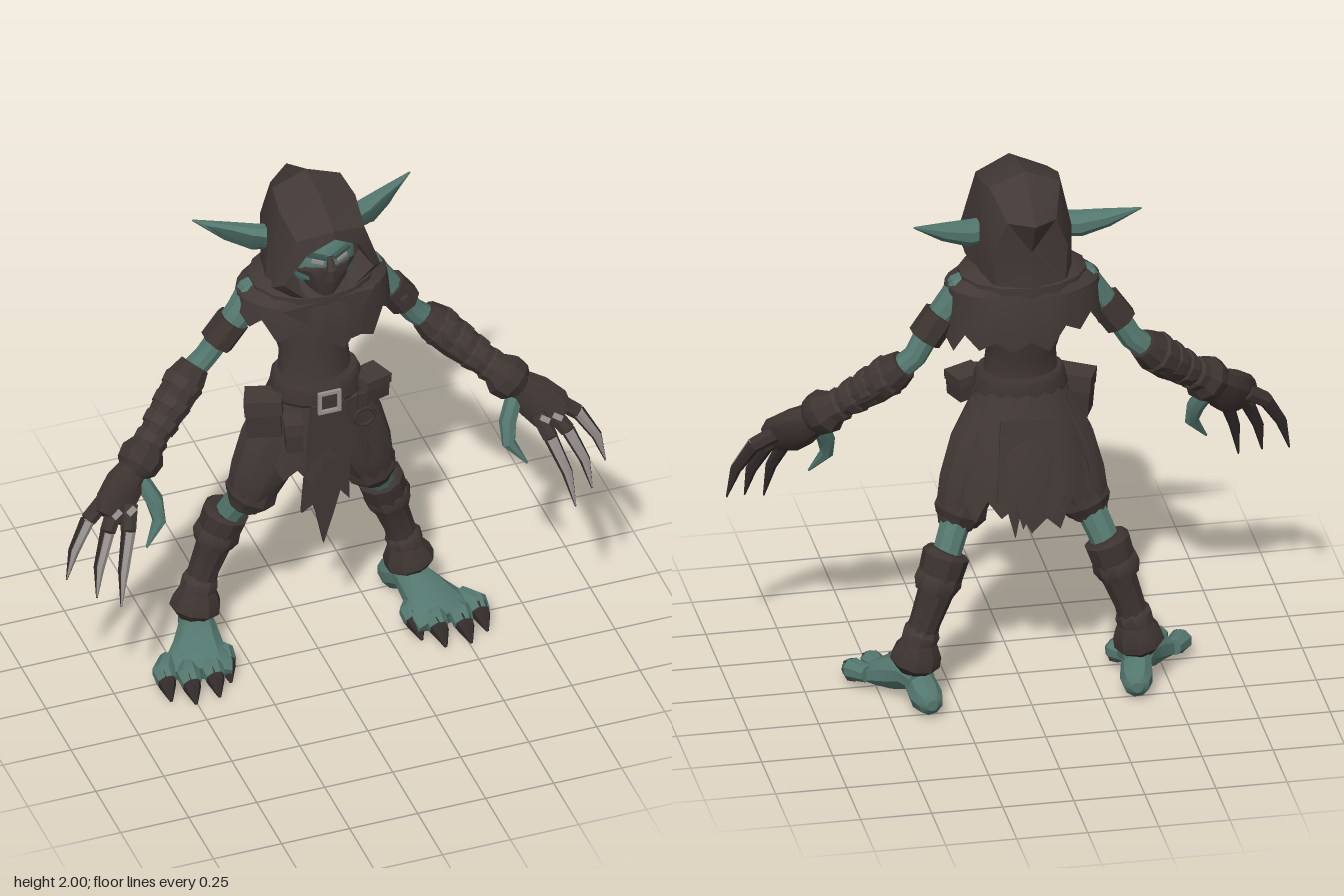
import * as THREE from 'three';
import { toCreasedNormals } from 'three/addons/utils/BufferGeometryUtils.js';

const V = (x, y, z) => new THREE.Vector3(x, y, z);
const Y = V(0, 1, 0), Z = V(0, 0, 1);

// Skin a list of closed rings of points, optionally capped at both ends
function loft(rings, caps = true, crease = 0.55) {
  const n = rings[0].length, pos = [], idx = [];
  rings.forEach(r => r.forEach(p => pos.push(p.x, p.y, p.z)));
  for (let i = 0; i < rings.length - 1; i++) {
    for (let j = 0; j < n; j++) {
      const a = i * n + j, b = i * n + (j + 1) % n;
      idx.push(a, b, b + n, a, b + n, a + n);
    }
  }
  if (caps) {
    [0, rings.length - 1].forEach((k, end) => {
      const c = rings[k].reduce((s, p) => s.add(p), V(0, 0, 0)).divideScalar(n);
      const ci = pos.length / 3;
      pos.push(c.x, c.y, c.z);
      for (let j = 0; j < n; j++) {
        const a = k * n + j, b = k * n + (j + 1) % n;
        if (end) idx.push(ci, a, b); else idx.push(ci, b, a);
      }
    });
  }
  const g = new THREE.BufferGeometry();
  g.setAttribute('position', new THREE.Float32BufferAttribute(pos, 3));
  g.setIndex(idx);
  return toCreasedNormals(g, crease);
}

// Tapered limb through points [x, y, z, radius, second radius]
function tube(pts, n = 9, ref = Z) {
  const c = pts.map(p => V(p[0], p[1], p[2]));
  return loft(pts.map((p, i) => {
    const t = c[Math.min(i + 1, c.length - 1)].clone().sub(c[Math.max(i - 1, 0)]).normalize();
    const u = t.clone().cross(ref).normalize(), v = t.clone().cross(u);
    return Array.from({ length: n }, (_, j) => {
      const a = (j + 0.5) / n * Math.PI * 2;
      return c[i].clone().addScaledVector(u, Math.cos(a) * p[3]).addScaledVector(v, Math.sin(a) * (p[4] ?? p[3]));
    });
  }));
}

// Open cloth shell of rings [y, z, rx, rz] from top down, with a torn hem shaped by drop(angle)
function rag(rings, n, jag, drop) {
  return loft(rings.map(([y, z, rx, rz], i) => Array.from({ length: n }, (_, j) => {
    const a = j / n * Math.PI * 2;
    const tear = i === rings.length - 1 ? drop(a) + jag * (j % 2 + 0.5 * Math.sin(j * 7.3)) : 0;
    return V(-rx * Math.sin(a), y - tear, z + rz * Math.cos(a));
  })), false);
}

function plate(points, depth, holes) {
  const s = new THREE.Shape(points.map(p => new THREE.Vector2(...p)));
  if (holes) s.holes.push(new THREE.Path(holes.map(p => new THREE.Vector2(...p))));
  return new THREE.ExtrudeGeometry(s, { depth, bevelEnabled: false });
}

export function createModel() {
  const mat = (name, color, side = THREE.FrontSide) => {
    const m = new THREE.MeshStandardMaterial({ color, side });
    m.name = name;
    return m;
  };
  const cloth = mat('dark cloth', 0x423936, THREE.DoubleSide);
  const leather = mat('dark leather', 0x3d3431);
  const skin = mat('teal skin', 0x53776e);
  const innerSkin = mat('dark teal skin', 0x3c5650);
  const metal = mat('worn metal', 0x98928f);
  const claw = mat('claw', 0x332c2b);
  const root = new THREE.Group();
  root.name = 'hoodedCreature';
  const add = (name, geo, m, parent = root, at = [0, 0, 0], rot = [0, 0, 0]) => {
    const mesh = new THREE.Mesh(geo, m);
    mesh.name = name;
    mesh.position.set(...at);
    mesh.rotation.set(...rot);
    parent.add(mesh);
    return mesh;
  };
  const box = (w, h, d) => new THREE.BoxGeometry(w, h, d);

  // Hood: half-sections from the recess, over the rim, to the pointed back
  const hood = [
    [[0, 1.87, .05], [.10, 1.82, .04], [.14, 1.72, .03], [.08, 1.65, .03], [0, 1.60, .03]],
    [[0, 1.90, .17], [.095, 1.84, .15], [.165, 1.70, .11], [.09, 1.62, .10], [0, 1.575, .10]],
    [[0, 1.93, .165], [.125, 1.89, .125], [.20, 1.68, .08], [.12, 1.61, .07], [0, 1.55, .07]],
    [[0, 1.98, .03], [.14, 1.93, -.01], [.17, 1.79, -.03], [.18, 1.63, -.04], [0, 1.55, 0]],
    [[0, 2.00, -.12], [.125, 1.95, -.12], [.16, 1.79, -.14], [.16, 1.62, -.14], [0, 1.56, -.12]],
    [[0, 1.88, -.32], [.085, 1.87, -.25], [.13, 1.76, -.23], [.125, 1.62, -.22], [0, 1.60, -.25]],
  ].map(h => [...h, ...h.slice(1, 4).reverse().map(([x, y, z]) => [-x, y, z])].map(p => V(...p)));
  add('hood', loft(hood, true, 0.45), cloth);

  // Face, mask and eyes
  const face = new THREE.SphereGeometry(1, 14, 10);
  face.scale(.12, .13, .1);
  add('face', face, skin, root, [0, 1.74, .025]);
  add('mask', tube([[0, 1.59, .085, .02, .02], [0, 1.66, .055, .08, .08], [0, 1.72, .035, .115, .105], [0, 1.75, .035, .108, .103]], 10), cloth);
  add('nose', tube([[0, 1.70, .13, .025, .018], [0, 1.745, .138, .02, .015], [0, 1.79, .118, .01, .01]], 6), cloth);

  // Torso, scarf and torn shoulder cape
  add('torso', tube([[0, 1.10, -.04, .14, .11], [0, 1.20, -.04, .13, .10], [0, 1.29, -.05, .122, .10], [0, 1.42, -.07, .155, .13],
    [0, 1.53, -.08, .18, .145], [0, 1.62, -.08, .12, .12]], 14), cloth);
  add('scarf', tube([[0, 1.53, -.07, .18, .15], [0, 1.565, -.07, .225, .18], [0, 1.61, -.07, .225, .18], [0, 1.65, -.07, .16, .14]], 14), cloth);
  add('shoulderCape', rag([[1.62, -.07, .19, .16], [1.57, -.07, .27, .18], [1.51, -.07, .285, .18]], 28, .055,
    a => (Math.sin(a) < -.3 ? .05 : 0) + .04 * Math.cos(a) ** 2 + (Math.cos(a) < 0 ? .04 : 0)), cloth);
  add('scarfFold', plate([[-.17, 1.58], [.17, 1.60], [.12, 1.52], [.02, 1.45], [-.06, 1.49]], .02), cloth, root, [0, 0, .085]);
  [.75, -.7].forEach(r => add('chestStrap', box(.15, .04, .012), leather, root, [.02, 1.41, .068], [-.2, 0, r]));
  add('chestBuckle', box(.035, .012, .008), metal, root, [.05, 1.44, .08], [-.2, 0, .7]);

  // Torn tunic skirt with hanging front panel
  add('skirt', rag([[1.19, -.04, .14, .115], [1.08, -.05, .185, .135], [.95, -.07, .225, .16], [.84, -.08, .255, .17]], 30, .07,
    a => -.05 * Math.max(0, Math.cos(a)) + .09 * Math.max(0, -Math.cos(a))), cloth);
  add('frontPanel', plate([[-.06, 0], [.06, 0], [.085, -.25], [.09, -.46], [.055, -.41], [.035, -.5], [0, -.64], [-.03, -.5],
    [-.045, -.45], [-.085, -.48], [-.075, -.25]], .015), cloth, root, [0, 1.14, .09], [.075, 0, 0]);
  add('sidePanel', plate([[0, 0], [.1, 0], [.16, -.25], [.13, -.2], [.1, -.3], [.07, -.22], [.03, -.27]], .012), cloth, root, [.04, 1.12, .078], [.05, .25, 0]);
  add('backPanel', plate([[-.1, 0], [.1, 0], [.12, -.3], [.07, -.26], [.03, -.4], [-.02, -.3], [-.07, -.38], [-.12, -.28]], .012), cloth, root, [0, 1.08, -.2], [.13, 0, 0]);

  // Belt, buckle, ring and pouches
  add('belt', tube([[0, 1.125, -.03, .16, .13], [0, 1.14, -.03, .168, .138], [0, 1.195, -.03, .158, .133], [0, 1.21, -.03, .148, .122]], 16), leather);
  add('beltBuckle', plate([[-.042, -.045], [.042, -.045], [.042, .045], [-.042, .045]], .012,
    [[-.03, -.033], [-.03, .033], [.03, .033], [.03, -.033]]), metal, root, [0, 1.155, .108]);
  add('beltRing', new THREE.TorusGeometry(.035, .008, 6, 16), leather, root, [.13, 1.06, .115]);
  add('ringStrap', box(.03, .08, .015), leather, root, [.12, 1.12, .11]);
  [[-.2, 1.08, .0, .12, .15], [.18, 1.13, .03, .1, .09], [-.12, 1.03, .075, .06, .12]].forEach(([x, y, z, w, h]) => {
    add('pouch', box(w, h, .09), leather, root, [x, y, z], [0, x * 2, -x * .4]);
    add('pouchFlap', box(w * 1.1, h * .4, .1), cloth, root, [x, y + h * .32, z], [0, x * 2, -x * .4]);
  });

  for (const s of [-1, 1]) {
    const side = s > 0 ? 'left' : 'right';
    const group = part => {
      const g = new THREE.Group();
      g.name = side + part;
      root.add(g);
      return g;
    };
    const limb = (name, pts, m, parent, n, ref) =>
      add(name, tube(pts.map(([x, ...r]) => [x * s, ...r]), n, ref), m, parent);

    // Eye and long pointed ear
    const head = group('HeadParts');
    add('eye', box(.042, .013, .008), metal, head, [s * .045, 1.777, .117], [0, s * .3, s * .25]);
    add('brow', box(.07, .014, .016), innerSkin, head, [s * .045, 1.797, .112], [0, s * .3, s * .3]);
    limb('ear', [[.12, 1.77, -.08, .045, .04], [.2, 1.772, -.10, .047, .045], [.29, 1.80, -.13, .033, .03], [.40, 1.845, -.17, .003]], skin, head, 8);
    limb('innerEar', [[.17, 1.775, -.055, .02, .008], [.22, 1.778, -.064, .028, .008], [.29, 1.802, -.102, .02, .008], [.36, 1.83, -.145, .003]], innerSkin, head, 6);

    // Arm with band, wrapped bracer and glove cuff
    const arm = group('Arm');
    limb('upperArm', [[.15, 1.57, -.08, .06], [.21, 1.54, -.08, .068], [.26, 1.48, -.075, .055], [.32, 1.41, -.075, .045],
      [.38, 1.31, -.09, .042], [.46, 1.24, -.08, .045]], skin, arm, 10);
    limb('armBand', [[.285, 1.455, -.075, .062], [.345, 1.37, -.08, .062]], leather, arm, 8);
    add('bandBuckle', box(.03, .035, .02), leather, arm, [s * .33, 1.42, -.01], [0, 0, s * .6]);
    limb('bracer', [[.42, 1.28, -.09, .055], [.455, 1.245, -.075, .07], [.52, 1.18, -.04, .068], [.60, 1.11, .01, .055], [.68, 1.04, .06, .05]], leather, arm, 10);
    for (let i = 0; i < 4; i++) {
      const k = i / 3, x = .46 + .15 * k, y = 1.24 - .14 * k, z = -.075 + .09 * k, r = .076 - .014 * k;
      limb('wrap', [[x, y, z, r * .9], [x + .008, y - .006, z + .004, r], [x + .034, y - .027, z + .018, r * .93]], cloth, arm, 9);
    }
    limb('gloveCuff', [[.635, 1.085, .03, .055], [.665, 1.055, .05, .082], [.695, 1.03, .07, .076], [.715, 1.01, .08, .05]], leather, arm, 9);

    // Hand: palm, thumb and three long blades
    const hand = group('Hand');
    limb('palm', [[.68, 1.04, .06, .05], [.75, .98, .10, .08, .05], [.80, .935, .14, .085, .042], [.83, .905, .165, .06, .03]], leather, hand, 9);
    limb('thumb', [[.69, .99, .09, .03], [.65, .91, .13, .032], [.642, .84, .16, .025], [.70, .76, .19, .004]], skin, hand, 7);
    [[[.83, .95, .12], [.90, .90, .145], [.96, .80, .17], [.99, .69, .18]],
      [[.80, .93, .15], [.845, .87, .195], [.892, .76, .24], [.91, .65, .265]],
      [[.75, .94, .16], [.775, .87, .215], [.815, .75, .275], [.835, .62, .305]]].forEach(f => {
      limb('finger', [[...f[0], .03], [...f[1], .028]], leather, hand, 7);
      limb('blade', f.slice(1).map((p, i) => [...p, [.026, .02, .003][i]]), claw, hand, 7);
      limb('bladeEdge', f.slice(1).map(([x, y, z], i) => [x, y + .004, z + .012 - i * .005, [.02, .016, .002][i]]), metal, hand, 6);
      add('knucklePlate', box(.035, .02, .008), metal, hand, [s * (f[0][0] + .01), f[0][1] + .005, f[0][2] + .045], [-.4, 0, s * -.6]);
    });

    // Leg: trousers, bare knee, boot shaft and ankle cuff
    const leg = group('Leg');
    limb('trouser', [[.08, 1.08, -.05, .10], [.14, .92, -.06, .12, .11], [.19, .79, -.065, .105, .1], [.222, .69, -.075, .085], [.24, .635, -.085, .06]], cloth, leg, 11);
    limb('trouserCuff', [[.205, .735, -.07, .088], [.22, .69, -.075, .096], [.235, .66, -.08, .078]], leather, leg, 9);
    limb('knee', [[.23, .68, -.085, .055], [.265, .60, -.125, .052], [.295, .52, -.155, .05]], skin, leg, 9);
    limb('boot', [[.278, .575, -.15, .07], [.283, .565, -.152, .083], [.305, .49, -.16, .078], [.325, .42, -.165, .062], [.36, .32, -.168, .054], [.385, .23, -.165, .06]], leather, leg, 10);
    limb('bootStrap', [[.305, .50, -.16, .08], [.315, .47, -.162, .085], [.325, .435, -.165, .07]], cloth, leg, 9);
    limb('ankleWrap', [[.365, .30, -.166, .055], [.372, .28, -.166, .066], [.385, .24, -.165, .062]], cloth, leg, 9);
    limb('ankleCuff', [[.377, .25, -.165, .06], [.385, .205, -.163, .085], [.395, .17, -.16, .09], [.40, .14, -.155, .06]], leather, leg, 9);

    // Foot with rounded heel and four clawed toes
    const foot = group('Foot');
    limb('heel', [[.36, .06, -.305, .02], [.362, .06, -.285, .045, .045], [.37, .065, -.24, .058, .06], [.385, .10, -.17, .055, .05]], skin, foot, 9, Y);
    limb('instep', [[.38, .11, -.21, .05], [.395, .11, -.14, .065, .06], [.42, .085, -.06, .09, .068], [.445, .06, .01, .125, .052], [.455, .045, .05, .12, .035]], skin, foot, 10, Y);
    [[.345, .08], [.41, .145], [.50, .155], [.575, .11]].forEach(([x, z]) => {
      limb('toe', [[x * .7 + .135, .07, z - .15, .03], [x, .065, z - .09, .042, .04], [x, .05, z - .055, .036]], skin, foot, 8, Y);
      limb('toeClaw', [[x, .052, z - .075, .036, .043], [x + .003, .042, z - .04, .03, .036], [x + .006, .006, z + .005, .005]], claw, foot, 7, Y);
    });
  }
  return root;
}
